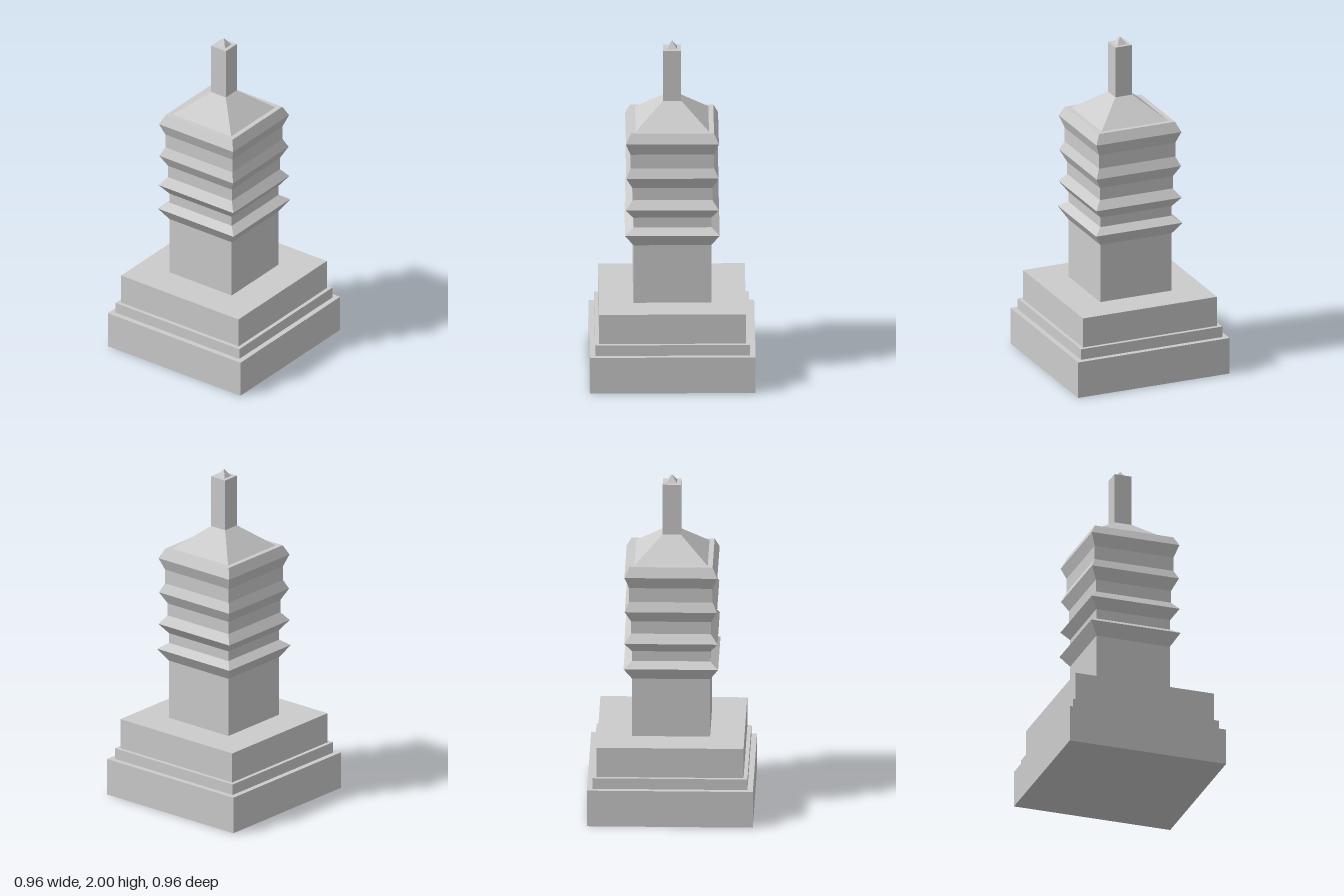
import * as THREE from 'three';

const material = new THREE.MeshStandardMaterial({ color: 0xcccccc, flatShading: true });

// Square block or frustum from y0 to y1, with half-widths w0 (bottom) and w1 (top)
function block(name, y0, y1, w0, w1 = w0, open = false) {
  const indexed = new THREE.CylinderGeometry(
    w1 * Math.SQRT2, w0 * Math.SQRT2, y1 - y0, 4, 1, open, Math.PI / 4);
  const geometry = indexed.toNonIndexed();
  geometry.computeVertexNormals();
  const mesh = new THREE.Mesh(geometry, material);
  mesh.name = name;
  mesh.position.y = (y0 + y1) / 2;
  return mesh;
}

// One storey: straight wall, then eaves that flare out and draw back in
function storey(index, { base, wallTop, edge, top, wall, eave, topWidth }, closed) {
  const group = new THREE.Group();
  group.name = `storey${index + 1}`;
  group.add(
    block('wall', base, wallTop, wall, wall, true),
    block('eaveUnderside', wallTop, edge, wall, eave, true),
    block('eaveRoof', edge, top, eave, topWidth, !closed),
  );
  return group;
}

export function createModel() {
  const model = new THREE.Group();
  model.name = 'steppedTower';

  // Stepped plinth
  model.add(
    block('plinthBase', 0, 0.22, 0.48),
    block('plinthStep', 0.22, 0.285, 0.448),
    block('plinthTop', 0.285, 0.465, 0.425),
  );

  // Storeys, shortening and widening slightly upward
  const storeys = [
    { base: 0.465, wallTop: 0.82, edge: 0.895, top: 0.93, wall: 0.226, eave: 0.274, topWidth: 0.226 },
    { base: 0.93, wallTop: 0.99, edge: 1.05, top: 1.1, wall: 0.226, eave: 0.27, topWidth: 0.231 },
    { base: 1.1, wallTop: 1.175, edge: 1.245, top: 1.3, wall: 0.231, eave: 0.267, topWidth: 0.242 },
    { base: 1.3, wallTop: 1.385, edge: 1.457, top: 1.515, wall: 0.242, eave: 0.269, topWidth: 0.241 },
  ];
  storeys.forEach((s, i) => model.add(storey(i, s, i === storeys.length - 1)));

  // Hipped roof, square spire and its small pointed tip
  model.add(
    block('roof', 1.515, 1.647, 0.212, 0.053, true),
    block('spire', 1.647, 1.955, 0.053),
    block('spireTip', 1.955, 2, 0.03, 0, true),
  );
  return model;
}
